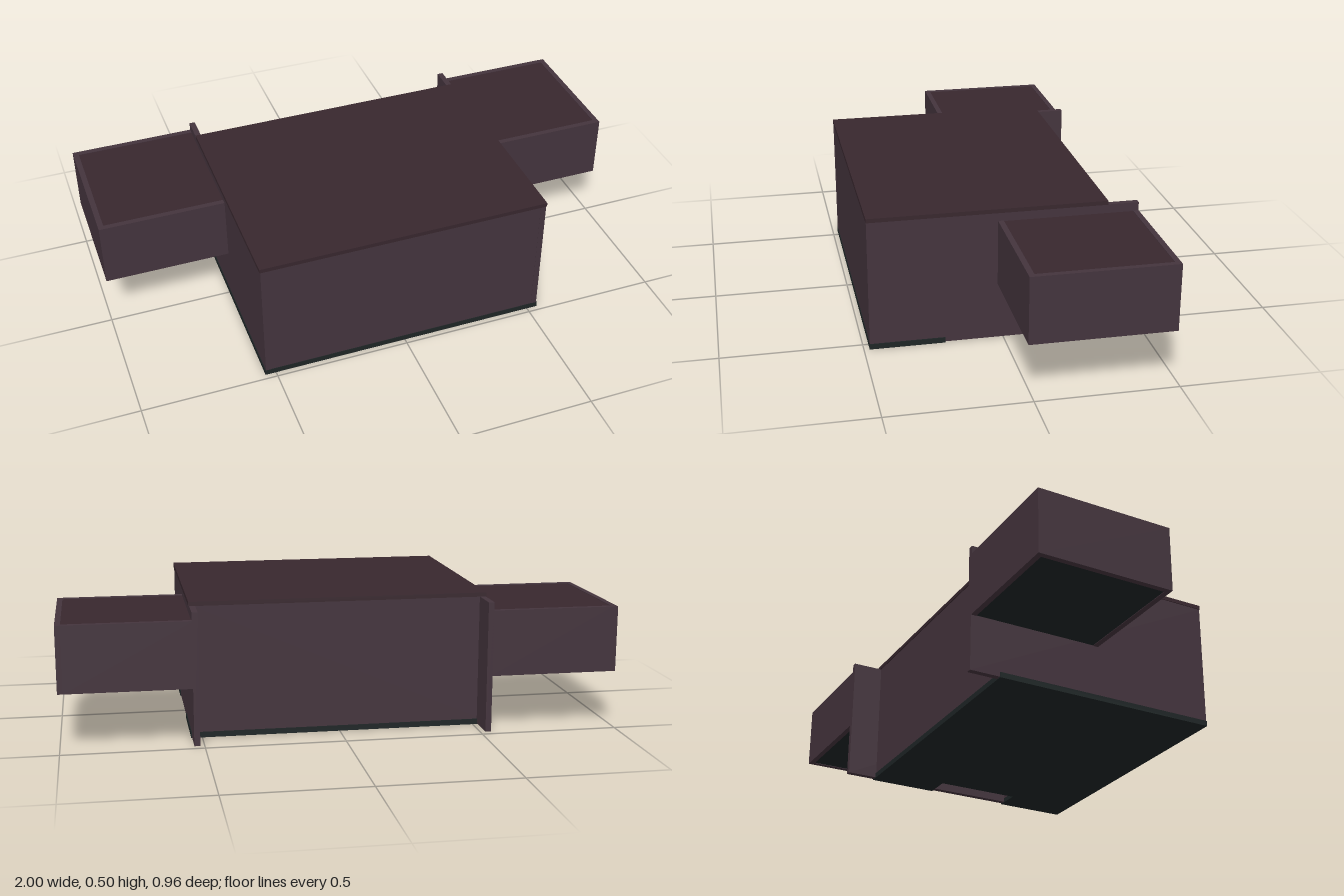
import * as THREE from 'three';

export function createModel() {
  const model = new THREE.Group();
  const wallMat = new THREE.MeshStandardMaterial({ color: 0x44343d });
  const lidMat = new THREE.MeshStandardMaterial({ color: 0x38272e });
  const floorMat = new THREE.MeshStandardMaterial({ color: 0x1e2526 });

  // Box given by its lower and upper limits on each axis
  function box(name, mat, [x0, x1], [y0, y1], [z0, z1], parent = model) {
    const mesh = new THREE.Mesh(new THREE.BoxGeometry(x1 - x0, y1 - y0, z1 - z0), mat);
    mesh.position.set((x0 + x1) / 2, (y0 + y1) / 2, (z0 + z1) / 2);
    mesh.name = name;
    parent.add(mesh);
  }

  // Plan shape (x, z) raised from y0 to y1
  function plan(name, mat, points, y0, y1) {
    const shape = new THREE.Shape(points.map(([x, z]) => new THREE.Vector2(x, -z)));
    const geo = new THREE.ExtrudeGeometry(shape, { depth: y1 - y0, bevelEnabled: false });
    geo.rotateX(-Math.PI / 2);
    const mesh = new THREE.Mesh(geo, mat);
    mesh.position.y = y0;
    mesh.name = name;
    model.add(mesh);
  }

  // Footprint with a slot in its left edge
  const notched = (x, z0, z1) => [
    [-x, z0], [-x, z1], [x, z1], [x, 0.21], [0.44, 0.21], [0.44, -0.11], [x, -0.11], [x, z0],
  ];

  // Main case
  plan('caseFloor', floorMat, notched(0.54, -0.37, 0.48), 0, 0.02);
  plan('caseBody', wallMat, notched(0.534, -0.367, 0.478), 0.018, 0.482);
  box('caseLid', lidMat, [-0.54, 0.54], [0.48, 0.495], [-0.37, 0.48]);

  // Side panels running past the back of the case, and the side compartments
  for (const s of [-1, 1]) {
    const span = (a, b) => (s > 0 ? [a, b] : [-b, -a]);
    const side = s > 0 ? 'left' : 'right';
    box(side + 'Panel', wallMat, span(0.516, 0.537), [0.003, 0.48], [-0.482, 0.479]);

    const bin = new THREE.Group();
    bin.name = side + 'Compartment';
    model.add(bin);
    const y = [0.21, 0.45];
    box('outerWall', wallMat, span(0.98, 1), y, [-0.482, 0.022], bin);
    box('backWall', wallMat, span(0.53, 0.98), y, [-0.482, -0.462], bin);
    box('frontWall', wallMat, span(0.53, 0.98), y, [0.002, 0.022], bin);
    box('compartmentLid', lidMat, span(0.53, 0.98), [0.43, 0.448], [-0.462, 0.002], bin);
    box('compartmentFloor', floorMat, span(0.53, 0.98), [0.212, 0.23], [-0.462, 0.002], bin);
  }
  return model;
}
